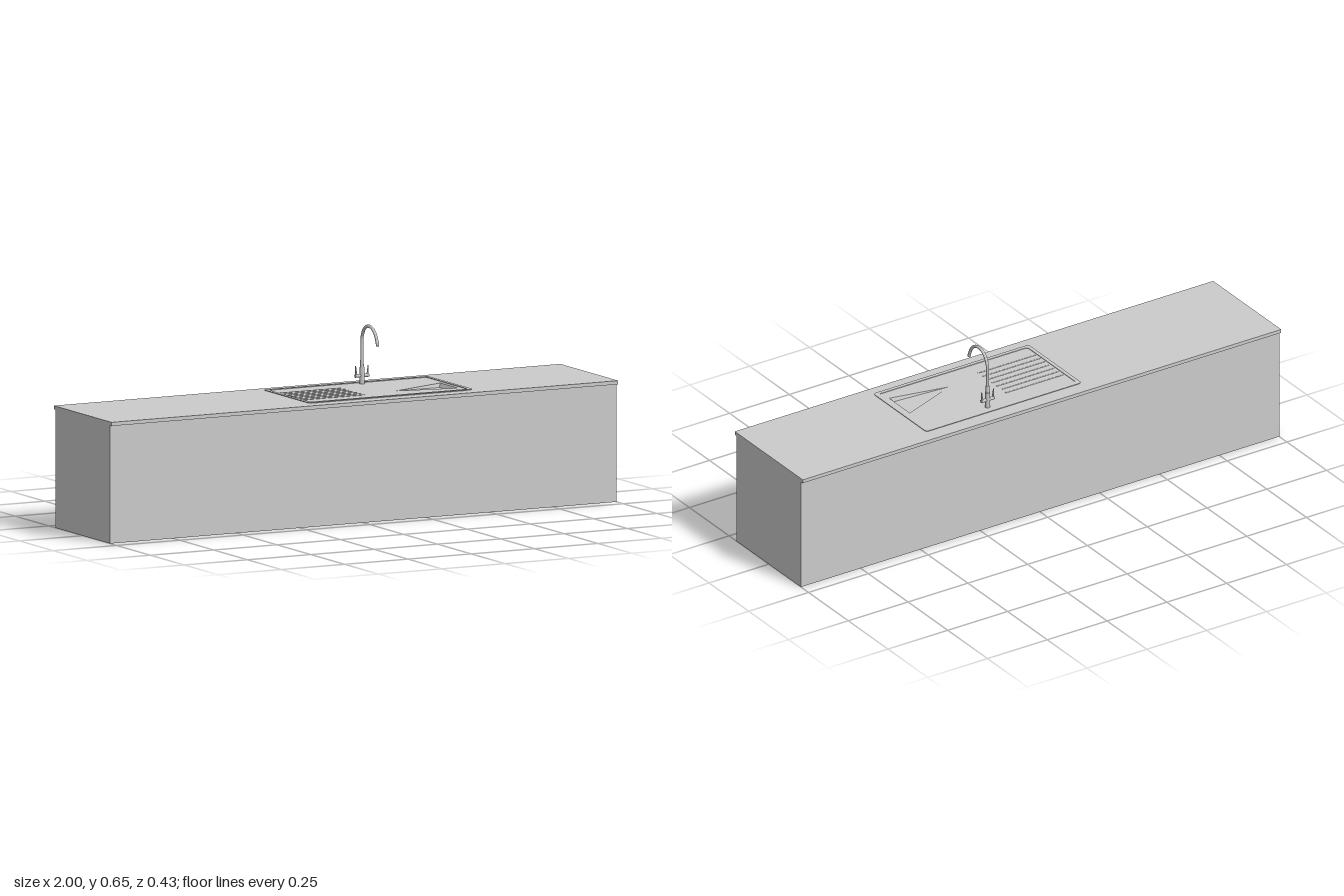
import * as THREE from 'three';

const material = new THREE.MeshStandardMaterial({ color: 0xcccccc });
const doubleSided = new THREE.MeshStandardMaterial({ color: 0xcccccc, side: THREE.DoubleSide });

function add(parent, name, geometry, x = 0, y = 0, z = 0, mat = material) {
  const mesh = new THREE.Mesh(geometry, mat);
  mesh.name = name;
  mesh.position.set(x, y, z);
  parent.add(mesh);
  return mesh;
}

// Rectangle in plan (x, z) with rounded corners
function plan(x0, x1, z0, z1, r = 0) {
  const s = new THREE.Shape();
  if (r === 0) {
    return s.moveTo(x0, z0).lineTo(x1, z0).lineTo(x1, z1).lineTo(x0, z1).closePath();
  }
  s.absarc(x1 - r, z1 - r, r, 0, Math.PI / 2);
  s.absarc(x0 + r, z1 - r, r, Math.PI / 2, Math.PI);
  s.absarc(x0 + r, z0 + r, r, Math.PI, Math.PI * 1.5);
  s.absarc(x1 - r, z0 + r, r, Math.PI * 1.5, Math.PI * 2);
  return s.closePath();
}

// Horizontal slab whose top is at y = top
function slab(shape, top, depth) {
  return new THREE.ExtrudeGeometry(shape, { depth, bevelEnabled: false, curveSegments: 6 })
    .rotateX(Math.PI / 2).translate(0, top, 0);
}

// Opening of the bowl in plan (x, z)
const opening = [[0.2, 0.07], [0.42, -0.015], [0.42, 0.115]];
const openingPath = () => new THREE.Path(opening.map(([x, z]) => new THREE.Vector2(x, z)));

function createSink() {
  const sink = new THREE.Group();
  sink.name = 'sink';

  // Recessed deck and the thin raised rim around it
  const deck = plan(-0.19, 0.44, -0.153, 0.162, 0.01);
  deck.holes.push(openingPath());
  add(sink, 'sinkDeck', slab(deck, 0.432, 0.003));

  const rim = plan(-0.2, 0.45, -0.163, 0.172, 0.012);
  rim.holes.push(plan(-0.186, 0.436, -0.15, 0.158, 0.01));
  add(sink, 'sinkRim', slab(rim, 0.434, 0.002));

  // Wedge-shaped bowl, sloping down to a steep end wall
  const top = 0.432, low = 0.4175;
  const [a, b, c] = opening.map(([x, z]) => [x, top, z]);
  const bLow = [0.412, low, -0.008], cLow = [0.412, low, 0.108];
  const faces = [
    a, cLow, bLow,
    a, bLow, b,
    a, c, cLow,
    b, bLow, cLow, b, cLow, c,
  ];
  const bowl = new THREE.BufferGeometry();
  bowl.setAttribute('position', new THREE.Float32BufferAttribute(faces.flat(), 3));
  bowl.computeVertexNormals();
  add(sink, 'bowl', bowl, 0, 0, 0, doubleSided);

  // Drainer ribs
  for (let i = 0; i < 7; i++) {
    const rib = new THREE.CylinderGeometry(0.003, 0.003, 0.24, 8).rotateZ(Math.PI / 2);
    rib.scale(1, 0.5, 1);
    add(sink, 'drainerRib', rib, -0.06, 0.432, -0.075 + i * 0.029);
  }
  return sink;
}

function createTap() {
  const tap = new THREE.Group();
  tap.name = 'tap';

  // Upright body and collar
  add(tap, 'tapBody', new THREE.CylinderGeometry(0.009, 0.009, 0.059, 24), 0, 0.4605, 0);
  add(tap, 'tapCollar', new THREE.CylinderGeometry(0.0062, 0.0068, 0.028, 24), 0, 0.502, 0);

  // Swan-neck spout, given as (z, y) along the centre line
  const path = new THREE.CatmullRomCurve3([
    [0, 0.48], [0, 0.53], [0, 0.575], [0.003, 0.602], [0.018, 0.628],
    [0.037, 0.64], [0.058, 0.642], [0.081, 0.635], [0.101, 0.617], [0.112, 0.595], [0.117, 0.58],
  ].map(([z, y]) => new THREE.Vector3(0, y, z)));
  add(tap, 'spout', new THREE.TubeGeometry(path, 60, 0.0055, 16), 0, 0, 0, doubleSided);
  const tip = add(tap, 'spoutTip', new THREE.CircleGeometry(0.0055, 16), 0, 0.58, 0.117, doubleSided);
  tip.lookAt(new THREE.Vector3(0, 0.58, 0.117).add(path.getTangent(1)));

  // Side valves with upright tapered levers
  for (const side of [-1, 1]) {
    const valve = new THREE.CylinderGeometry(0.006, 0.006, 0.026, 20).rotateZ(Math.PI / 2);
    add(tap, 'valve', valve, side * 0.014, 0.461, 0);
    const lever = new THREE.CylinderGeometry(0.0018, 0.004, 0.036, 12);
    const mesh = add(tap, 'lever', lever, side * 0.0235, 0.478, 0);
    mesh.rotation.z = -side * 0.08;
  }
  tap.position.set(0.17, 0, -0.127);
  return tap;
}

export function createModel() {
  const model = new THREE.Group();
  model.name = 'sinkUnit';

  // Cabinet block and overhanging worktop
  add(model, 'cabinet', new THREE.BoxGeometry(2, 0.416, 0.404), 0, 0.208, 0);
  const worktop = plan(-1, 1, -0.214, 0.214);
  worktop.holes.push(openingPath());
  add(model, 'worktop', slab(worktop, 0.429, 0.013));

  model.add(createSink(), createTap());
  return model;
}
